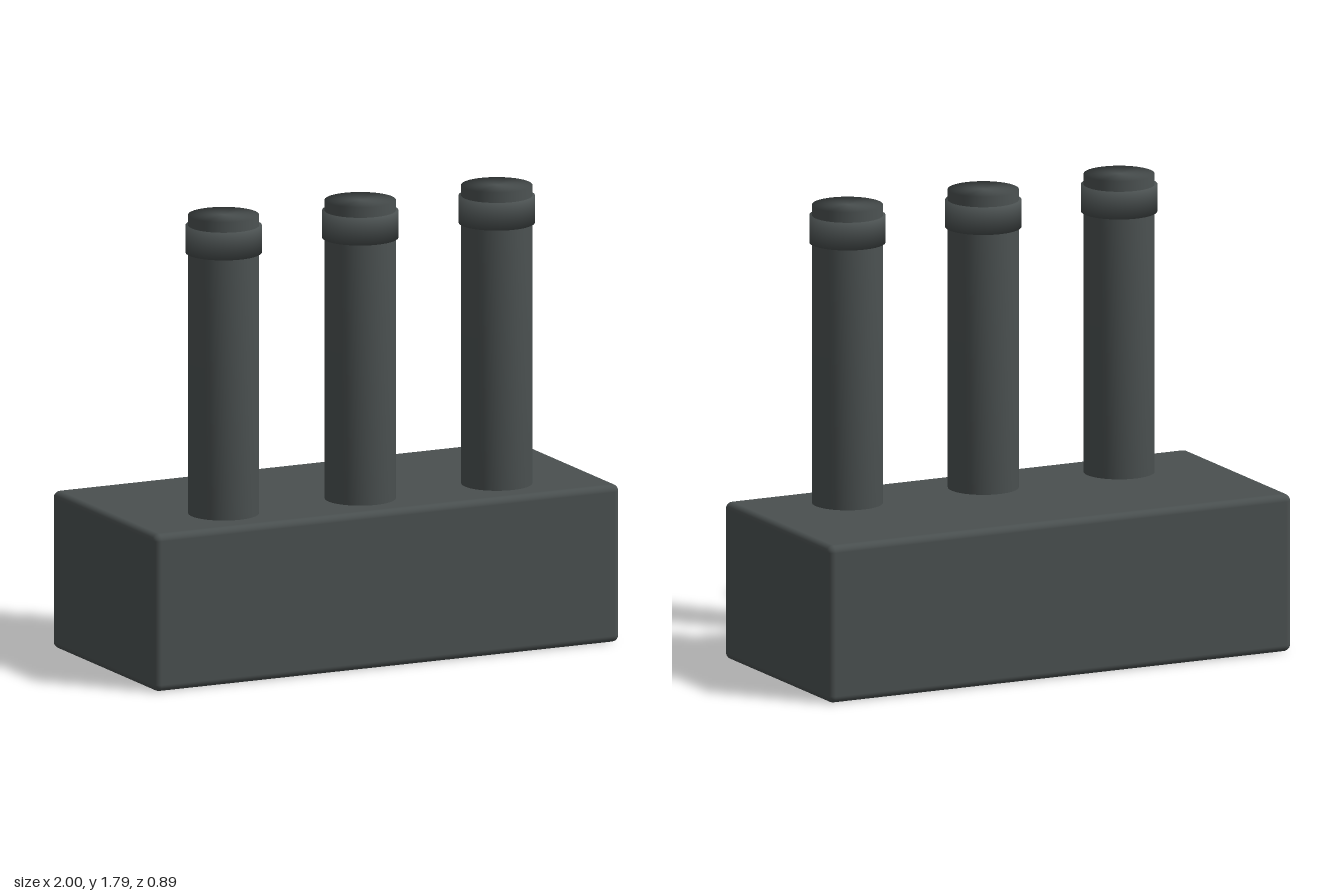
import * as THREE from 'three';
import { RoundedBoxGeometry } from 'three/addons/geometries/RoundedBoxGeometry.js';

const darkGrey = new THREE.MeshStandardMaterial({ color: 0x4a5050 });
darkGrey.name = 'dark grey';

// Closed cylinder whose normals run smoothly over the rims
function softCylinder(name, radius, bottom, top) {
  const profile = [[0, bottom], [radius, bottom], [radius, top], [0, top]]
    .map(([x, y]) => new THREE.Vector2(x, y));
  const mesh = new THREE.Mesh(new THREE.LatheGeometry(profile, 48), darkGrey);
  mesh.name = name;
  return mesh;
}

export function createModel() {
  const model = new THREE.Group();
  model.name = 'threePipeBlock';

  // Base block with slightly rounded edges
  const base = new THREE.Mesh(new RoundedBoxGeometry(2, 0.62, 0.894, 4, 0.027), darkGrey);
  base.name = 'base';
  base.position.y = 0.31;
  model.add(base);

  // Row of pipes near the front, each with a collar below its top
  for (const x of [-0.587, 0, 0.587]) {
    const pipe = new THREE.Group();
    pipe.name = 'pipe';
    pipe.add(softCylinder('pipeShaft', 0.137, 0.002, 1.795));
    pipe.add(softCylinder('pipeCollar', 0.147, 1.647, 1.754));
    pipe.position.set(x, 0, 0.208);
    model.add(pipe);
  }
  return model;
}
